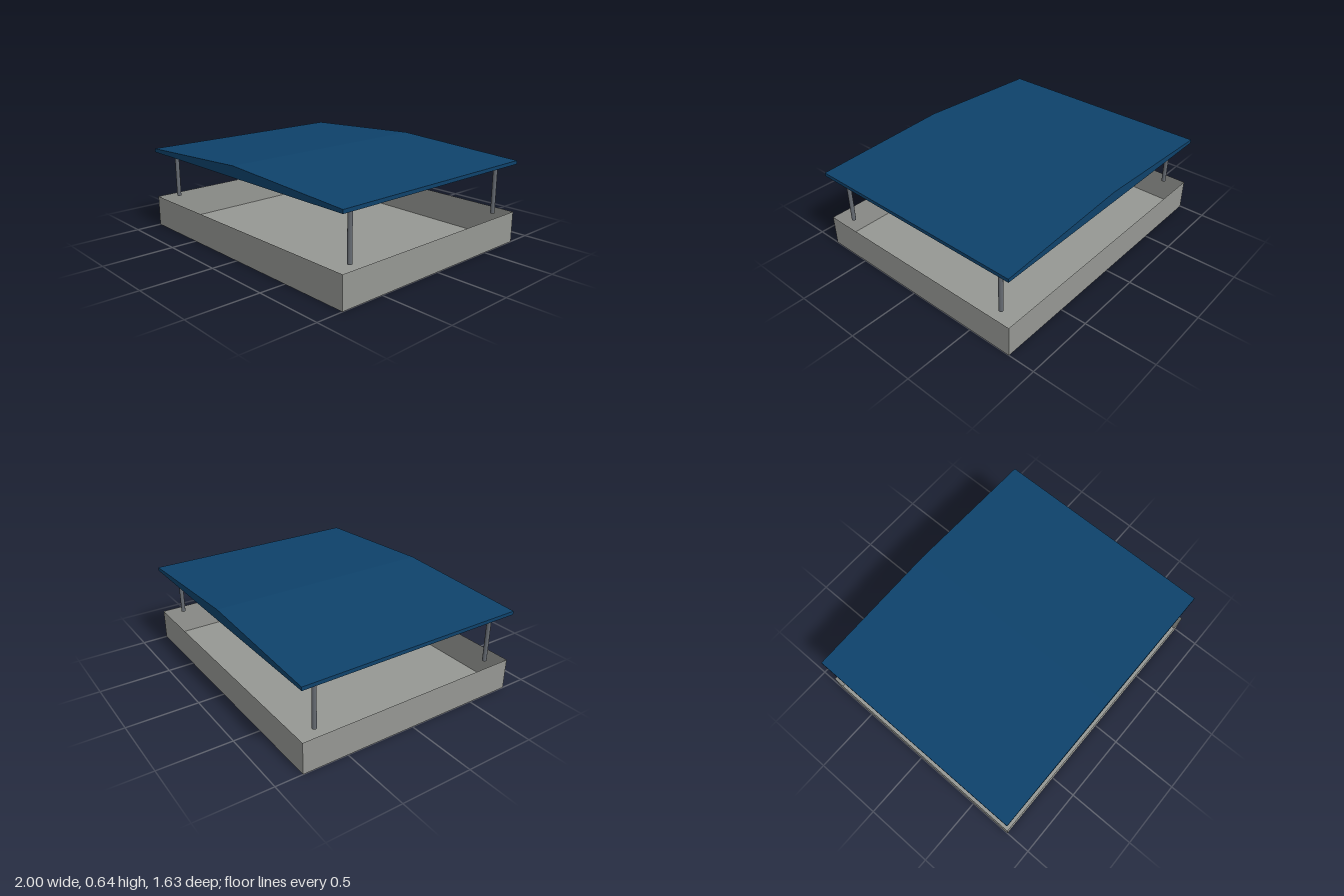
import * as THREE from 'three';

const HALF_X = 1, HALF_Z = 0.815;
const BASE_TOP = 0.22, ROOF_BOTTOM = 0.56, EAVE_TOP = 0.585, RIDGE = 0.637;

export function createModel() {
  const group = new THREE.Group();
  group.name = 'shelter';

  const concrete = new THREE.MeshStandardMaterial({ color: 0x959793, side: THREE.DoubleSide });
  concrete.name = 'concrete grey';
  const steel = new THREE.MeshStandardMaterial({ color: 0x666b72 });
  steel.name = 'steel grey';
  const blue = new THREE.MeshStandardMaterial({ color: 0x0e426b });
  blue.name = 'roof blue';

  const add = (name, geometry, material, x = 0, y = 0, z = 0) => {
    const mesh = new THREE.Mesh(geometry, material);
    mesh.name = name;
    mesh.position.set(x, y, z);
    group.add(mesh);
    return mesh;
  };

  // Open tray base: a floor and four thin walls
  add('floor', new THREE.PlaneGeometry(2 * HALF_X, 2 * HALF_Z).rotateX(-Math.PI / 2), concrete);
  for (const s of [1, -1]) {
    const turn = s > 0 ? 0 : Math.PI;
    add(s > 0 ? 'frontWall' : 'backWall',
      new THREE.PlaneGeometry(2 * HALF_X, BASE_TOP).rotateY(turn),
      concrete, 0, BASE_TOP / 2, s * HALF_Z);
    add(s > 0 ? 'leftWall' : 'rightWall',
      new THREE.PlaneGeometry(2 * HALF_Z, BASE_TOP).rotateY(turn + Math.PI / 2),
      concrete, s * HALF_X, BASE_TOP / 2, 0);
  }

  // Four corner posts between the wall tops and the roof
  const height = ROOF_BOTTOM - BASE_TOP;
  const post = new THREE.CylinderGeometry(0.015, 0.015, height, 16);
  for (const sx of [1, -1]) {
    for (const sz of [1, -1]) {
      const name = (sz > 0 ? 'front' : 'back') + (sx > 0 ? 'Left' : 'Right') + 'Post';
      add(name, post, steel, sx * 0.92, BASE_TOP + height / 2, sz * 0.685);
    }
  }

  // Low gabled roof with a flat underside, ridge running front to back
  const profile = new THREE.Shape([
    new THREE.Vector2(-HALF_X, ROOF_BOTTOM),
    new THREE.Vector2(HALF_X, ROOF_BOTTOM),
    new THREE.Vector2(HALF_X, EAVE_TOP),
    new THREE.Vector2(0, RIDGE),
    new THREE.Vector2(-HALF_X, EAVE_TOP),
  ]);
  add('roof', new THREE.ExtrudeGeometry(profile, { depth: 2 * HALF_Z, bevelEnabled: false }),
    blue, 0, 0, -HALF_Z);

  return group;
}
